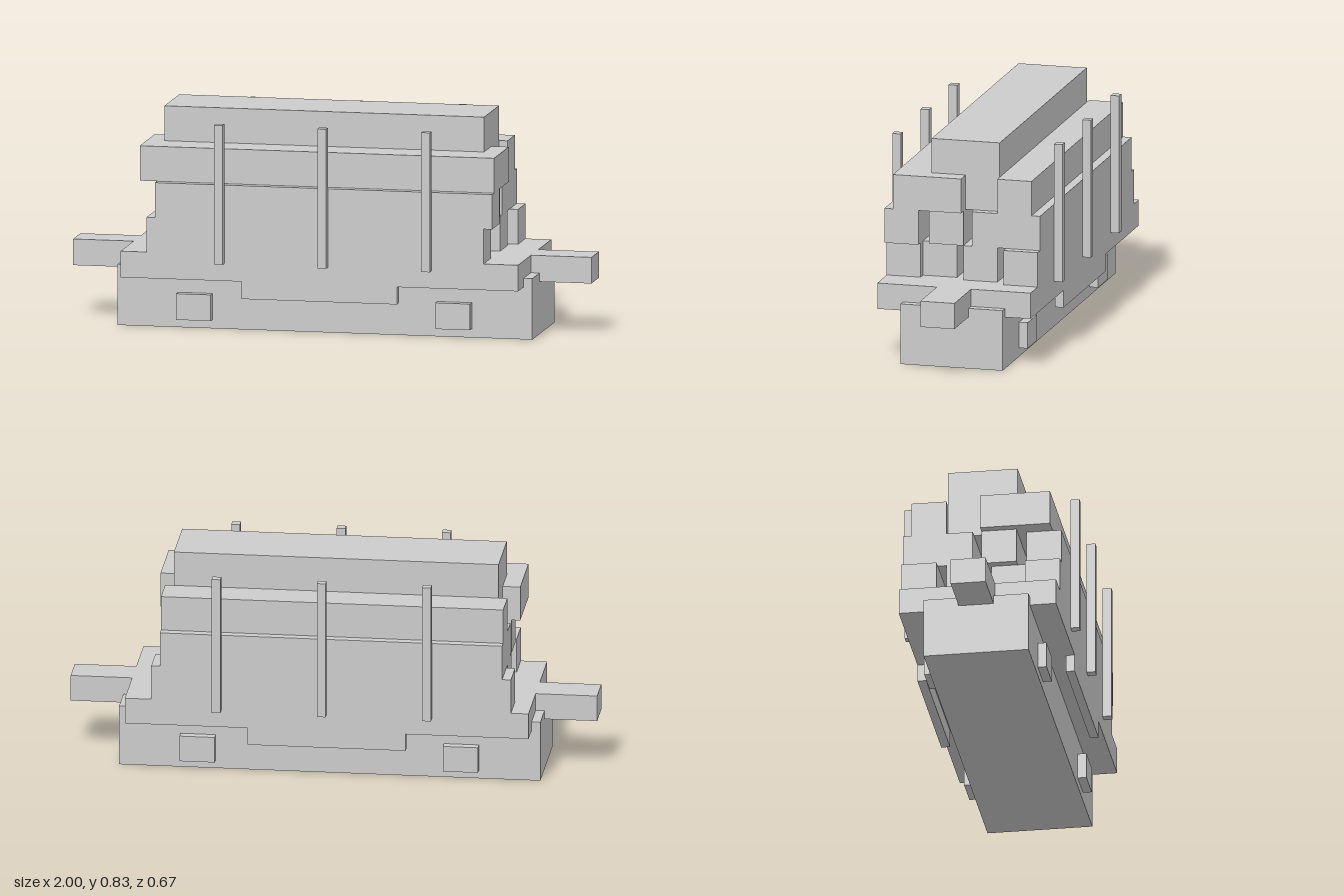
import * as THREE from 'three';

const U = 1 / 30; // block unit

export function createModel() {
  const model = new THREE.Group();
  model.name = 'logWagon';
  const material = new THREE.MeshStandardMaterial({ color: 0xcccccc, flatShading: true });

  // box given by its limits in block units
  function block(name, [x0, x1], [y0, y1], [z0, z1]) {
    const mesh = new THREE.Mesh(
      new THREE.BoxGeometry((x1 - x0) * U, (y1 - y0) * U, (z1 - z0) * U), material);
    mesh.position.set((x0 + x1) * U / 2, (y0 + y1) * U / 2, (z0 + z1) * U / 2);
    mesh.name = name;
    model.add(mesh);
  }
  // same block on front and back
  function bothSides(name, x, y, [z0, z1]) {
    block(name + 'Front', x, y, [z0, z1]);
    block(name + 'Back', x, y, [-z1, -z0]);
  }

  // underframe, deck and couplers
  block('underframe', [-24, 24], [0, 7], [-6, 6]);
  block('deck', [-23, 23], [6, 9], [-9, 9]);
  block('couplerLeft', [23, 30], [6, 9], [-2, 2]);
  block('couplerRight', [-30, -23], [6, 9], [-2, 2]);
  bothSides('sideSill', [-9, 9], [4, 6], [8, 9]);

  // axle boxes
  bothSides('axleBoxLeft', [13, 17], [1, 4], [6, 7]);
  bothSides('axleBoxRight', [-17, -13], [1, 4], [6, 7]);

  // upright stakes holding the load
  for (const x of [-12, 0, 12]) bothSides('stake', [x, x + 1], [8, 24], [9, 10]);

  // stacked logs, 4 units square: [z start, x start, x end] for each layer
  const layers = [
    [[5, -20, 19], [1, -19, 18], [-4, -20, 19], [-9, -21, 20]],
    [[5, -19, 20], [0, -20, 19], [-5, -20, 19], [-9, -20, 19]],
    [[4, -21, 20], [0, -21, 20], [-4, -19, 18], [-8, -20, 19]],
    [[0, -19, 18], [-4, -19, 18]],
  ];
  layers.forEach((logs, i) => logs.forEach(([z, x0, x1]) =>
    block('log', [x0, x1], [9 + 4 * i, 13 + 4 * i], [z, z + 4])));

  return model;
}
